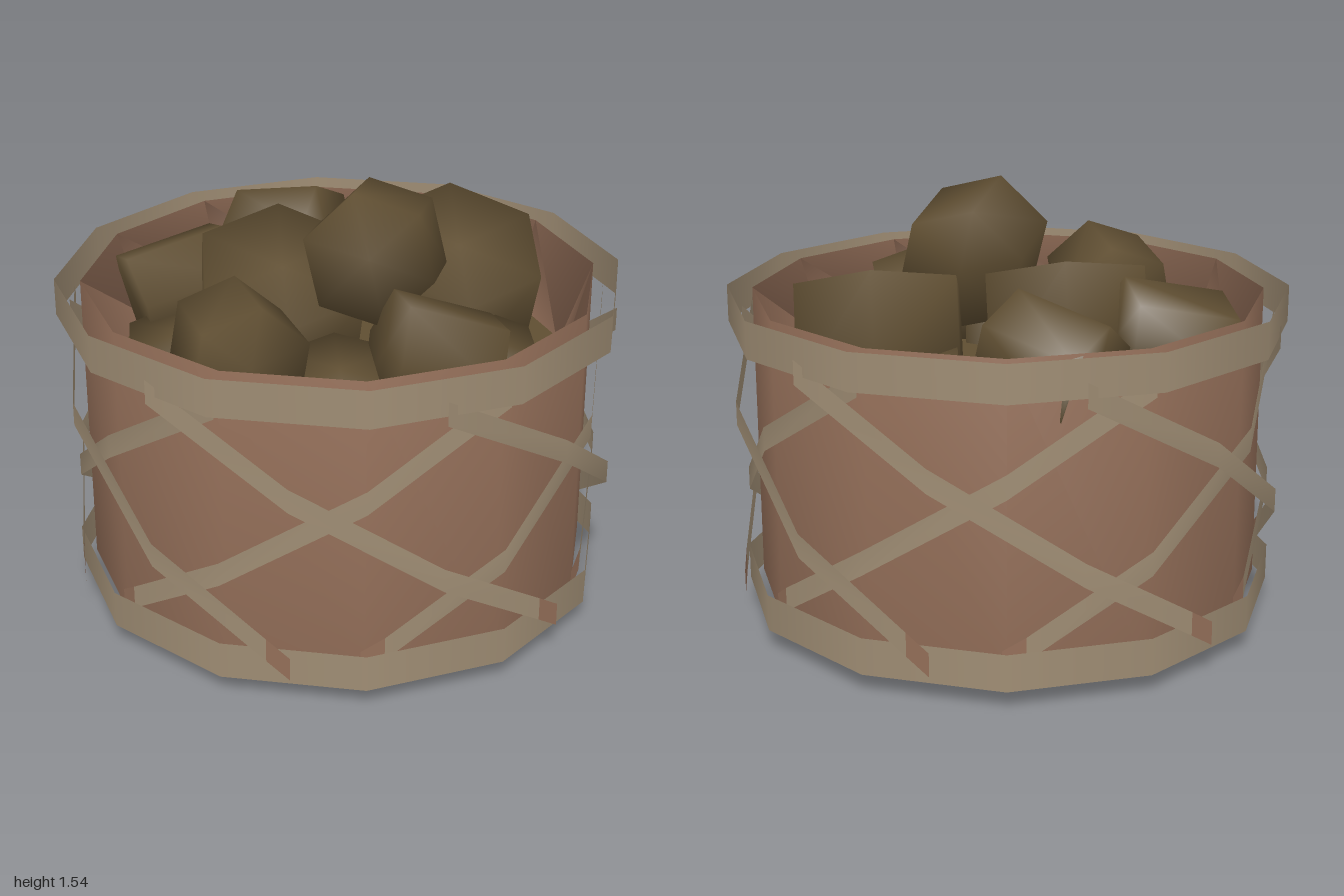
import * as THREE from 'three';
import { mergeVertices } from 'three/addons/utils/BufferGeometryUtils.js';

const material = (name, color, side = THREE.FrontSide) => {
  const m = new THREE.MeshStandardMaterial({ color, side });
  m.name = name;
  return m;
};

export function createModel() {
  const clay = material('clay brown', 0x946f59);
  const strapEnd = material('strap end brown', 0x946f59, THREE.DoubleSide);
  const tan = material('tan leather', 0x9f8d74, THREE.DoubleSide);
  const earth = material('dark earth', 0x5f4e32);

  const root = new THREE.Group();
  root.name = 'basketOfRocks';
  const add = (name, geometry, mat, parent = root) => {
    const mesh = new THREE.Mesh(geometry, mat);
    mesh.name = name;
    parent.add(mesh);
    return mesh;
  };

  // Twelve-sided tub: underside, chamfer, wall and sloping inner wall
  const profile = [[0, 0], [0.78, 0], [0.91, 0.1], [0.91, 1.18], [0.795, 0.87]]
    .map(([x, y]) => new THREE.Vector2(x, y));
  add('tub', new THREE.LatheGeometry(profile, 12), clay);

  // Bed of soil inside
  add('soil', new THREE.CircleGeometry(0.8, 12).rotateX(-Math.PI / 2), earth).position.y = 0.89;

  // Thin hoops standing off the wall
  const hoop = (name, r, y) =>
    add(name, new THREE.CylinderGeometry(r, r, 0.132, 12, 1, true), tan).position.y = y;
  hoop('topHoop', 1, 1.124);
  hoop('bottomHoop', 0.96, 0.134);

  // Upright ribbon through points of [angle in degrees, height, radius]
  const ribbon = (points, width) => {
    const n = points.length;
    const g = new THREE.PlaneGeometry(1, 1, n - 1, 1);
    const p = g.attributes.position;
    for (let i = 0; i < p.count; i++) {
      const [deg, y, r] = points[i % n];
      const a = THREE.MathUtils.degToRad(deg);
      p.setXYZ(i, r * Math.sin(a), y + (i < n ? width / 2 : -width / 2), r * Math.cos(a));
    }
    g.computeVertexNormals();
    return g;
  };

  // Crossed lacing: six straps each way, with darker tips
  const outer = ribbon([[-45, 1.07, 0.975], [-15, 0.79, 0.98], [15, 0.47, 0.98], [40, 0.21, 0.96]], 0.085);
  const outerTip = ribbon([[40, 0.21, 0.96], [45, 0.155, 0.975]], 0.085);
  const inner = ribbon([[-56, 0.2, 0.92], [-30, 0.46, 0.95], [0, 0.77, 0.95], [30, 1.07, 0.95]], 0.085);
  const innerTip = ribbon([[-61, 0.15, 0.915], [-56, 0.2, 0.92]], 0.085);
  for (let i = 0; i < 6; i++) {
    const lace = new THREE.Group();
    lace.name = 'lacing' + (i + 1);
    lace.rotation.y = (i * Math.PI) / 3;
    add('outerStrap', outer, tan, lace);
    add('outerStrapTip', outerTip, strapEnd, lace);
    add('innerStrap', inner, tan, lace);
    add('innerStrapTip', innerTip, strapEnd, lace);
    root.add(lace);
  }

  // Smooth-shaded hexagonal rocks: centre, radius, length, axis
  const rocks = [
    [[0.12, 1.29, 0.09], 0.235, 0.36, [-0.27, 0.18, 1]],
    [[0.44, 1.05, -0.22], 0.32, 0.36, [0.05, 0.86, 0.4]],
    [[-0.21, 1.05, -0.06], 0.32, 0.36, [0.05, 0.88, 0.38]],
    [[-0.14, 1.08, -0.63], 0.2, 0.36, [0.31, 0.08, 0.21]],
    [[-0.55, 1.05, -0.24], 0.2, 0.37, [1, 0.22, -0.3]],
    [[-0.38, 1.08, 0.43], 0.21, 0.37, [0.2, 0.08, 1]],
    [[0.28, 1.03, 0.45], 0.21, 0.36, [0.93, -0.32, -0.1]],
    // Half-buried rocks
    [[0.36, 0.9, -0.4], 0.24, 0.3, [0.1, 1, -0.1]],
    [[-0.55, 0.86, 0.06], 0.21, 0.3, [-0.1, 1, 0.1]],
    [[0.46, 0.86, 0.2], 0.21, 0.3, [0.15, 1, 0.1]],
    [[-0.04, 0.86, 0.42], 0.23, 0.3, [0, 1, 0.15]],
    [[-0.3, 0.84, -0.45], 0.26, 0.3, [0.1, 1, 0.1]],
  ];
  const up = new THREE.Vector3(0, 1, 0);
  rocks.forEach(([centre, r, length, axis], i) => {
    let g = new THREE.CylinderGeometry(r, r, length, 6, 1);
    g.deleteAttribute('normal');
    g.deleteAttribute('uv');
    g = mergeVertices(g);
    g.computeVertexNormals();
    const rock = add('rock' + (i + 1), g, earth);
    rock.position.set(...centre);
    rock.quaternion.setFromUnitVectors(up, new THREE.Vector3(...axis).normalize());
  });

  return root;
}
